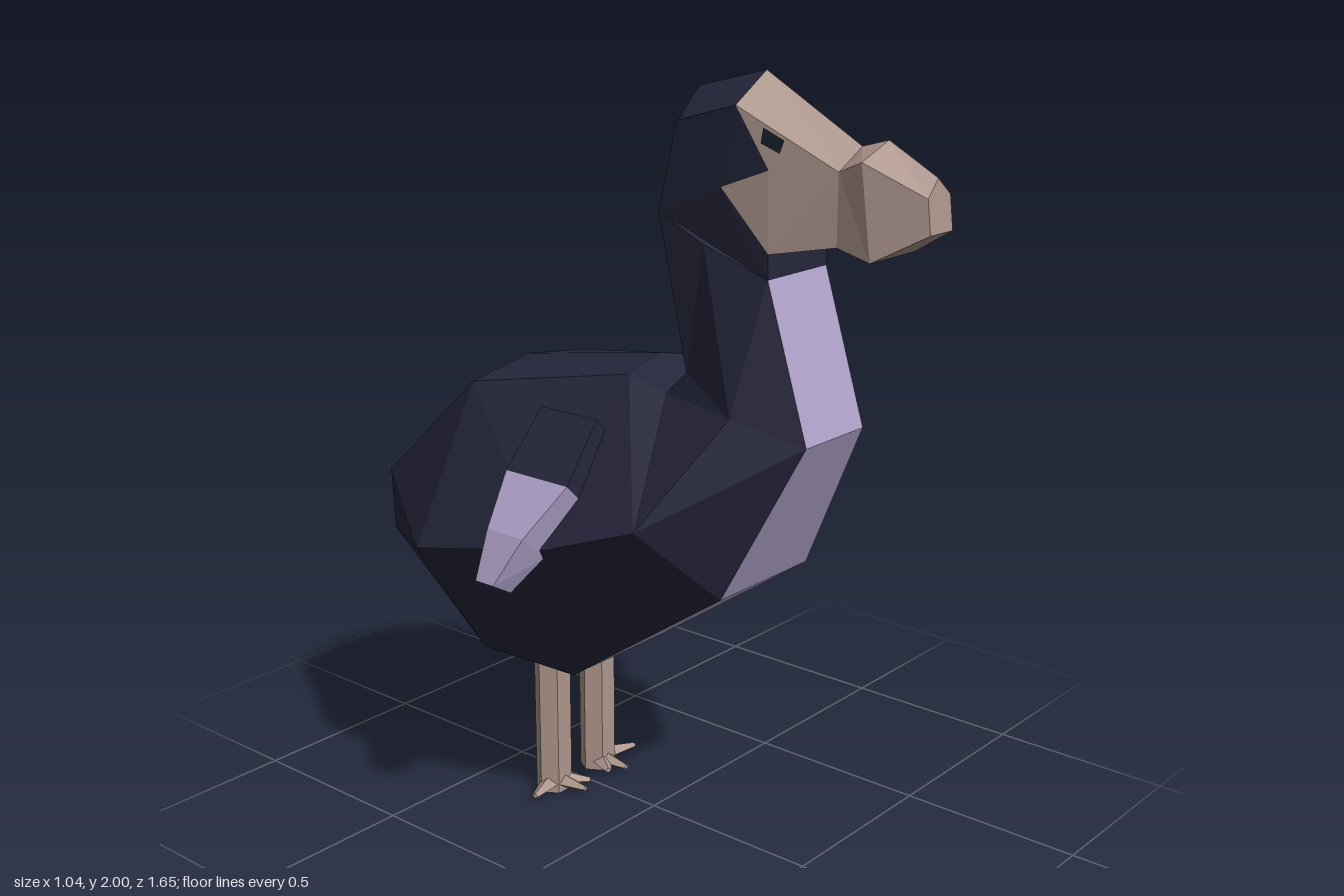
import * as THREE from 'three';

const plumage = new THREE.MeshStandardMaterial({ color: 0x25263b });
plumage.name = 'navy plumage';
const down = new THREE.MeshStandardMaterial({ color: 0xafa3c9 });
down.name = 'lavender down';
const skin = new THREE.MeshStandardMaterial({ color: 0xac958c });
skin.name = 'tan skin';
const eyeColor = new THREE.MeshStandardMaterial({ color: 0x18212c });
eyeColor.name = 'eye dark';

// Faceted mesh from convex polygons on the +x side, mirrored to -x
function mirroredMesh(name, material, polys) {
  const pos = [];
  const fan = (p) => {
    for (let i = 1; i < p.length - 1; i++) pos.push(...p[0], ...p[i], ...p[i + 1]);
  };
  for (const p of polys) {
    fan(p);
    fan(p.map(([x, y, z]) => [-x, y, z]).reverse());
  }
  const g = new THREE.BufferGeometry();
  g.setAttribute('position', new THREE.Float32BufferAttribute(pos, 3));
  g.computeVertexNormals();
  const mesh = new THREE.Mesh(g, material);
  mesh.name = name;
  return mesh;
}

// Quads joining consecutive sections, for the columns from..to
function loft(sections, from, to) {
  const out = [];
  for (let i = 0; i < sections.length - 1; i++) {
    for (let j = from; j < to; j++) {
      const a = sections[i], b = sections[i + 1];
      out.push([a[j], a[j + 1], b[j + 1], b[j]]);
    }
  }
  return out;
}

// Half width of the cheek, tapering towards the beak
function cheekX(z, y) {
  if (z < 0.22) return 0.1 + Math.max(0, (z - 0.1) / 0.12) * 0.015;
  const crease = 0.34 + (1.93 - y) * 0.303;
  return z <= crease ? 0.115 : 0.115 - 0.04 * (z - crease) / (0.6 - crease);
}

// Triangles of a [z, y] outline laid on the cheek
function cheek(outline, lift = 0) {
  const pts = outline.map(([z, y]) => new THREE.Vector2(-z, y));
  if (THREE.ShapeUtils.isClockWise(pts)) pts.reverse();
  return THREE.ShapeUtils.triangulateShape(pts, []).map((f) =>
    f.map((i) => [cheekX(-pts[i].x, pts[i].y) + lift, pts[i].y, -pts[i].x]));
}

function buildBody() {
  const group = new THREE.Group();
  group.name = 'body';
  // Columns: spine, back edge, flank, belly edge, belly centre
  const sections = [
    [[0, 1.67, 0.07], [0.1, 1.66, 0.1], [0.115, 1.6, 0.25], [0.115, 1.54, 0.44], [0, 1.54, 0.44]],
    [[0, 1.29, 0.18], [0.115, 1.28, 0.2], [0.2, 1.22, 0.4], [0.115, 1.16, 0.56], [0, 1.16, 0.56]],
    [[0, 1.24, 0.14], [0.12, 1.22, 0.14], [0.37, 0.95, 0.25], [0.175, 0.75, 0.36], [0, 0.75, 0.36]],
    [[0, 1.28, 0.03], [0.13, 1.25, 0.03], [0.415, 0.86, 0], [0.175, 0.41, -0.13], [0, 0.41, -0.13]],
    [[0, 1.2, -0.44], [0.22, 1.17, -0.43], [0.42, 0.76, -0.45], [0.175, 0.4, -0.46], [0, 0.39, -0.46]],
    [[0, 0.86, -0.825], [0.18, 0.84, -0.81], [0.18, 0.67, -0.8], [0.1, 0.56, -0.795], [0, 0.54, -0.795]],
  ];
  group.add(mirroredMesh('neckAndBack', plumage, loft(sections, 0, 3)));
  group.add(mirroredMesh('throatAndBelly', down, loft(sections, 3, 4)));
  group.add(mirroredMesh('rump', plumage, [sections[5]]));
  return group;
}

function buildHead() {
  const group = new THREE.Group();
  group.name = 'head';
  // Columns: ridge, upper edge, lower edge, underside centre
  const beak = [
    [[0, 1.8, 0.81], [0.045, 1.76, 0.815], [0.045, 1.68, 0.825], [0, 1.68, 0.825]],
    [[0, 1.87, 0.68], [0.09, 1.83, 0.67], [0.09, 1.61, 0.7], [0, 1.61, 0.7]],
    [[0, 1.85, 0.61], [0.075, 1.8, 0.6], [0.075, 1.63, 0.6], [0, 1.63, 0.6]],
    [[0, 2, 0.34], [0.115, 1.93, 0.34], [0.115, 1.6, 0.44], [0, 1.6, 0.44]],
  ];
  const [c, d, b, k] = beak[0];
  group.add(mirroredMesh('beak', skin, [
    [c, k, b, d],
    ...loft(beak.slice(0, 3), 0, 3),
    ...loft(beak.slice(2), 0, 1),
    ...loft(beak.slice(2), 2, 3),
  ]));
  group.add(mirroredMesh('face', skin, cheek(
    [[0.34, 1.93], [0.6, 1.8], [0.6, 1.63], [0.44, 1.6], [0.3, 1.74], [0.43, 1.79]])));
  // Feathered crown, cheeks and chin
  const crown = [
    beak[3],
    [[0, 1.95, 0.14], [0.1, 1.88, 0.16]],
    [[0, 1.67, 0.07], [0.1, 1.66, 0.1]],
  ];
  group.add(mirroredMesh('crown', plumage, [
    ...loft(crown, 0, 1),
    ...cheek([[0.1, 1.66], [0.16, 1.88], [0.34, 1.93], [0.43, 1.79],
      [0.3, 1.74], [0.44, 1.6], [0.44, 1.54], [0.25, 1.6]]),
    [[0, 1.6, 0.44], [0, 1.54, 0.44], [0.115, 1.54, 0.44], [0.115, 1.6, 0.44]],
  ]));
  group.add(mirroredMesh('eyes', eyeColor, cheek(
    [[0.468, 1.86], [0.415, 1.885], [0.41, 1.85], [0.458, 1.83]], 0.004)));
  return group;
}

function buildWings() {
  const group = new THREE.Group();
  group.name = 'wings';
  // Rings: outer front, outer rear, inner rear, inner front
  const ring = (ox, oy, ix, iy, zf, zr) =>
    [[ox, oy, zf], [ix, iy, zf], [ix, iy, zr], [ox, oy, zr], [ox, oy, zf]];
  const rings = [
    ring(0.25, 1.16, 0.19, 1.1, 0.03, -0.155),
    ring(0.37, 1.02, 0.31, 0.96, 0.04, -0.165),
    ring(0.47, 0.9, 0.4, 0.83, -0.015, -0.135),
    ring(0.52, 0.78, 0.46, 0.745, -0.07, -0.13),
  ];
  const sides = (r) => loft(r, 0, 4).map((p) => p.reverse());
  const cap = (r) => r.slice(0, 4);
  group.add(mirroredMesh('wingShoulders', plumage,
    [cap(rings[0]).reverse(), ...sides(rings.slice(0, 2))].map((p) => [...p].reverse())));
  group.add(mirroredMesh('wingTips', down,
    [cap(rings[3]), ...sides(rings.slice(1))].map((p) => [...p].reverse())));
  return group;
}

function buildLeg(side) {
  const group = new THREE.Group();
  group.name = side > 0 ? 'leftLeg' : 'rightLeg';
  const add = (name, geometry) => {
    const g = geometry.toNonIndexed();
    g.computeVertexNormals();
    const mesh = new THREE.Mesh(g, skin);
    mesh.name = name;
    group.add(mesh);
    return mesh;
  };
  const shank = new THREE.CylinderGeometry(0.052, 0.052, 0.45, 6);
  shank.rotateY(Math.PI / 6 + Math.PI / 3).scale(1, 1, 0.94);
  add('shank', shank).position.set(side * 0.09, 0.225, -0.288);
  // Toes spread forward, outward and inward
  for (const [x, z] of [[0.085, -0.175], [0.205, -0.25], [0.037, -0.2]]) {
    const dir = new THREE.Vector3(side * (x - 0.09), 0, z + 0.285);
    const length = dir.length();
    const toe = new THREE.CylinderGeometry(0.01, 0.034, length, 4);
    toe.translate(0, length / 2, 0);
    toe.rotateX(Math.PI / 2).scale(1, 0.75, 1);
    toe.rotateY(Math.atan2(dir.x, dir.z));
    add('toe', toe).position.set(side * 0.09, 0.0255, -0.285);
  }
  return group;
}

export function createModel() {
  const model = new THREE.Group();
  model.name = 'flightlessBird';
  model.add(buildBody(), buildHead(), buildWings(), buildLeg(1), buildLeg(-1));
  return model;
}
